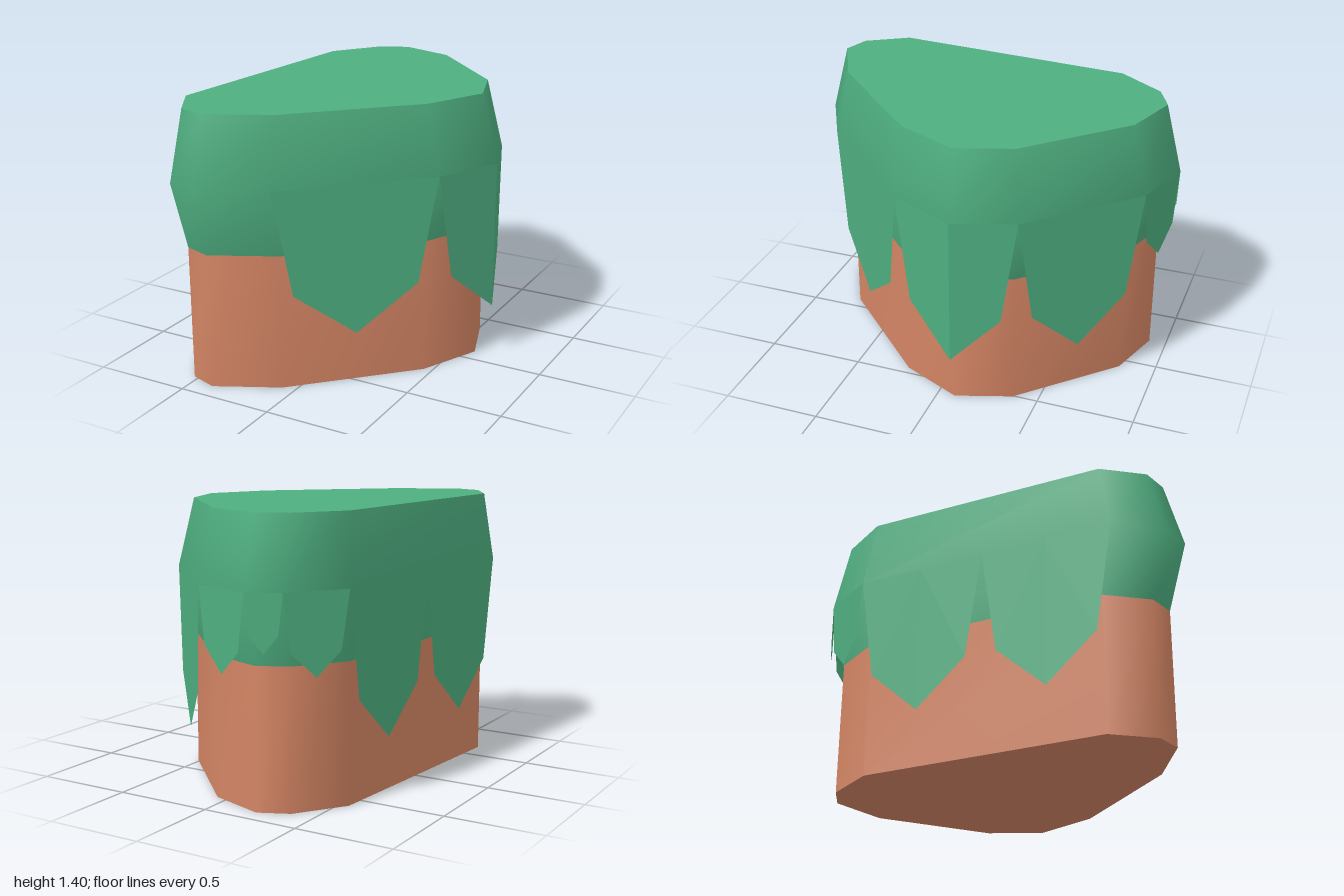
import * as THREE from 'three';

// Outline [x, z] of the straight body, and of the bulging grass rim
const INNER = [[-0.23, -0.91], [0.06, -0.815], [0.505, -0.37], [0.6, -0.09], [0.455, 0.225], [-0.07, 0.75],
  [-0.385, 0.905], [-0.525, 0.86], [-0.655, 0.65], [-0.55, -0.6], [-0.38, -0.84]];
const OUTER = [[-0.23, -1], [0.09, -0.9], [0.58, -0.41], [0.685, -0.1], [0.53, 0.24], [-0.06, 0.83],
  [-0.39, 1], [-0.545, 0.95], [-0.69, 0.71], [-0.58, -0.65], [-0.39, -0.92]];
const RIM_Y = 1.05;

// Smooth wall through a stack of rings: [[outline, y], ...] from bottom to top
function wall(rings) {
  const n = INNER.length, pos = [], idx = [];
  for (const [pts, y] of rings) for (const [x, z] of pts) pos.push(x, y, z);
  for (let r = 0; r < rings.length - 1; r++) {
    for (let i = 0; i < n; i++) {
      const a = r * n + i, b = r * n + (i + 1) % n;
      idx.push(b, a, a + n, b, a + n, b + n);
    }
  }
  const g = new THREE.BufferGeometry();
  g.setAttribute('position', new THREE.Float32BufferAttribute(pos, 3));
  g.setIndex(idx);
  g.computeVertexNormals();
  return g;
}

// Flat cap facing up or down
function cap(y, up) {
  const s = up ? -1 : 1;
  const shape = new THREE.Shape(INNER.map(([x, z]) => new THREE.Vector2(x, s * z)));
  return new THREE.ShapeGeometry(shape).rotateX(s * Math.PI / 2).translate(0, y, 0);
}

const mix = (a, b, t) => [a[0] + (b[0] - a[0]) * t, a[1] + (b[1] - a[1]) * t];

// Pointed grass flap hanging from a to b, with its tip under m
function drip(a, m, b, depth) {
  const at = (p, y) => [p[0], y, p[1]];
  const tip = at(m, RIM_Y - depth), top = at(m, RIM_Y);
  const sa = at(mix(a, m, 0.24), RIM_Y - depth * 0.7);
  const sb = at(mix(b, m, 0.24), RIM_Y - depth * 0.7);
  const tris = [top, tip, sa, top, sa, at(a, RIM_Y), top, at(b, RIM_Y), sb, top, sb, tip];
  const g = new THREE.BufferGeometry();
  g.setAttribute('position', new THREE.Float32BufferAttribute(tris.flat(), 3));
  g.computeVertexNormals();
  return g;
}

export function createModel() {
  const group = new THREE.Group();
  const grass = new THREE.MeshStandardMaterial({ color: 0x4eae80, side: THREE.DoubleSide });
  grass.name = 'grass green';
  const dirt = new THREE.MeshStandardMaterial({ color: 0xd48564 });
  dirt.name = 'dirt brown';
  const add = (name, geometry, material) => {
    const mesh = new THREE.Mesh(geometry, material);
    mesh.name = name;
    group.add(mesh);
  };

  // Dirt body
  add('dirtWall', wall([[INNER, 0], [INNER, 0.7]]), dirt);
  add('dirtBottom', cap(0, false), dirt);

  // Grass layer
  add('grassWall', wall([[INNER, 0.7], [OUTER, RIM_Y], [INNER, 1.4]]), grass);
  add('grassTop', cap(1.4, true), grass);

  // Hanging flaps: one per edge, one folded round the right corner, two on the long edge
  const O = OUTER, mid = (a, b) => mix(a, b, 0.5);
  const longMid = mid(O[8], O[9]);
  const flaps = [
    [O[4], mid(O[4], O[5]), O[5], 0.77],
    [O[2], O[3], O[4], 0.77],
    [O[1], mid(O[1], O[2]), O[2], 0.77],
    [O[0], mid(O[0], O[1]), O[1], 0.4],
    [O[10], mid(O[10], O[0]), O[0], 0.28],
    [O[9], mid(O[9], O[10]), O[10], 0.4],
    [O[8], mid(O[8], longMid), longMid, 0.77],
    [longMid, mid(longMid, O[9]), O[9], 0.77],
  ];
  flaps.forEach((f, i) => add('grassFlap' + (i + 1), drip(...f), grass));
  return group;
}
